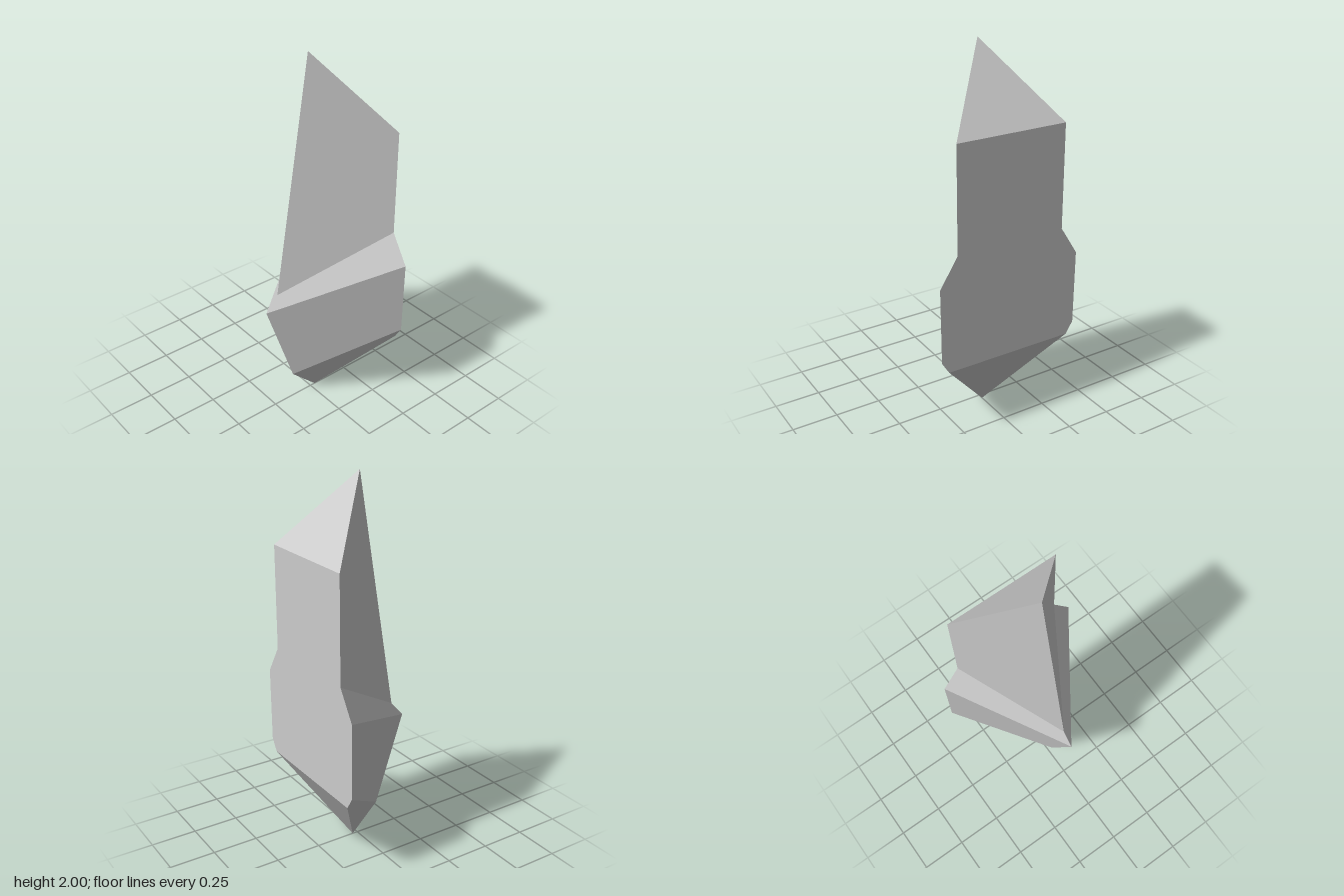
import * as THREE from 'three';

const BACK = -0.295;

// Triangular ring: front ridge point, then the two back corners (counterclockwise from above)
const ring = (frontY, frontZ, halfWidth, backY) => [
  new THREE.Vector3(0, frontY, frontZ),
  new THREE.Vector3(halfWidth, backY, BACK),
  new THREE.Vector3(-halfWidth, backY, BACK),
];

const rings = [
  ring(2.0, 0.015, 0.305, 1.61), // slanted top facet
  ring(0.73, 0.22, 0.305, 1.055), // foot of the upper shard
  ring(0.645, 0.293, 0.403, 0.9), // widest ledge
  ring(0.15, 0.125, 0.4, 0.495), // start of the lower taper
  ring(0, -0.03, 0.36, 0.43), // slanted bottom facet
];

export function createModel() {
  const group = new THREE.Group();
  group.name = 'crystalShard';
  const material = new THREE.MeshStandardMaterial({ color: 0xcccccc });

  // One flat-lit facet made of triangles sharing a single normal
  const facet = (out, normal, ...points) => {
    for (const p of points) {
      out.position.push(p.x, p.y, p.z);
      out.normal.push(normal.x, normal.y, normal.z);
    }
  };

  const cap = (out, a, b, c) => {
    const n = new THREE.Triangle(a, b, c).getNormal(new THREE.Vector3());
    facet(out, n, a, b, c);
  };

  // Three panels between two rings; the side panels fold as mirror images
  const band = (out, up, low) => {
    for (let i = 0; i < 3; i++) {
      const j = (i + 1) % 3;
      const [aU, bU, aL, bL] = [up[i], up[j], low[i], low[j]];
      const n = bU.clone().sub(aL).cross(aU.clone().sub(bL)).normalize();
      if (i === 0) facet(out, n, aL, bL, aU, bL, bU, aU);
      else facet(out, n, aL, bL, bU, aL, bU, aU);
    }
  };

  const names = ['upperShard', 'shoulder', 'body', 'lowerTip'];
  names.forEach((name, k) => {
    const out = { position: [], normal: [] };
    band(out, rings[k], rings[k + 1]);
    if (k === 0) cap(out, ...rings[0]);
    if (k === names.length - 1) cap(out, rings[k + 1][0], rings[k + 1][2], rings[k + 1][1]);

    const geometry = new THREE.BufferGeometry();
    for (const key of ['position', 'normal']) {
      geometry.setAttribute(key, new THREE.Float32BufferAttribute(out[key], 3));
    }
    const mesh = new THREE.Mesh(geometry, material);
    mesh.name = name;
    group.add(mesh);
  });

  return group;
}
